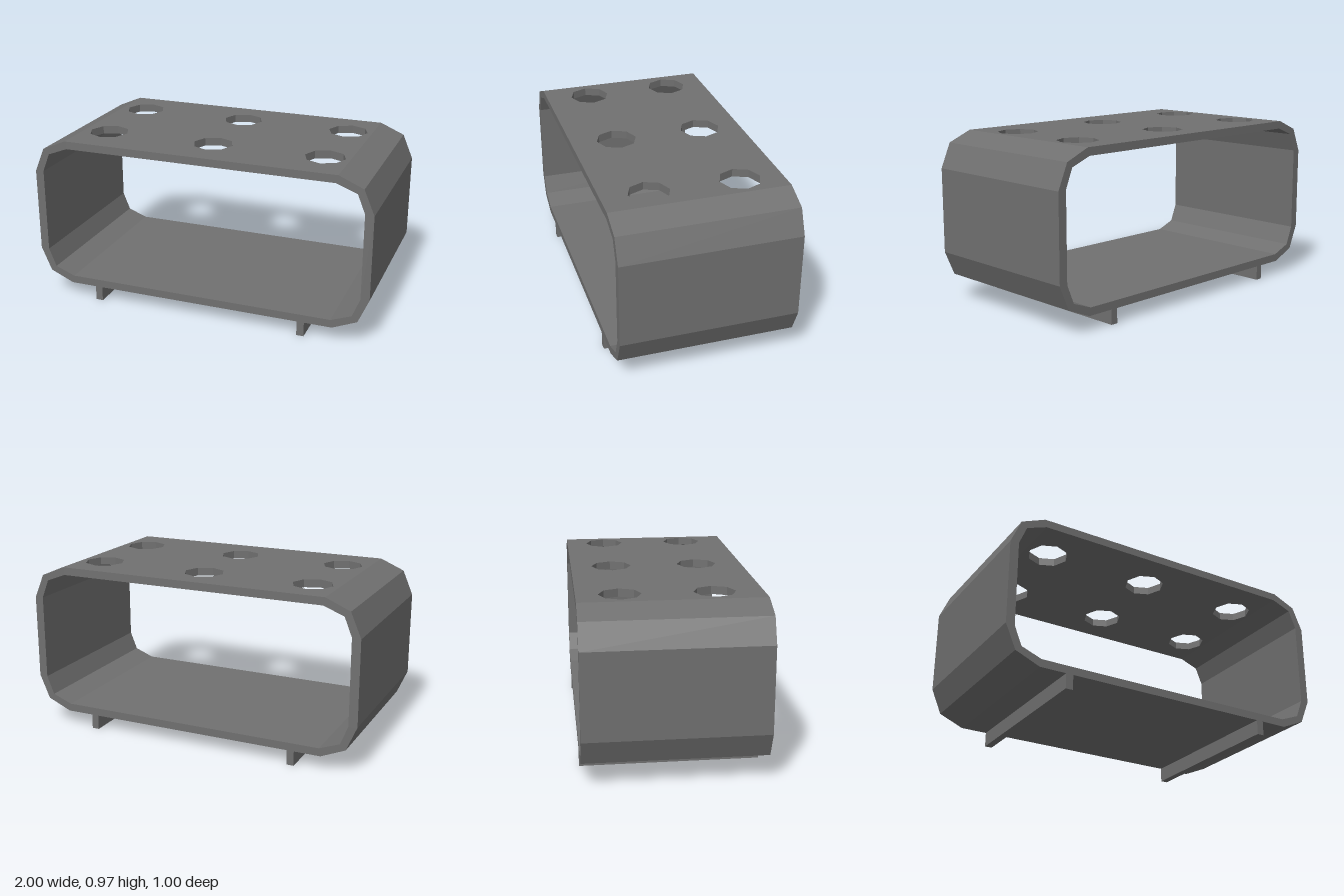
import * as THREE from 'three';

export function createModel() {
  const model = new THREE.Group();
  const grey = new THREE.MeshStandardMaterial({ color: 0x707070 });
  grey.name = 'dark grey';
  const add = (name, geometry) => {
    const mesh = new THREE.Mesh(geometry, grey);
    mesh.name = name;
    model.add(mesh);
    return mesh;
  };

  const depth = 1, topY = 0.97, innerTopY = 0.925, bottomY = 0.085, slabX = 0.79;
  const midY = (topY + bottomY) / 2;

  // Right half of the outer and inner outlines, from top to bottom
  const half = (corner) => {
    const upper = corner.map(([x, y]) => [x, y]);
    const lower = corner.map(([x, y]) => [x, 2 * midY - y]).reverse();
    return [...upper, ...lower];
  };
  const outer = half([[0.8, topY], [0.94, 0.91], [1, 0.77]]);
  const inner = half([[slabX, innerTopY], [0.907, 0.88], [0.95, 0.773]]);
  const mirror = (points) => points.map(([x, y]) => [-x, y]).reverse();

  // Sides and floor: a band left open where the top panel sits
  const band = [
    [slabX, topY], ...outer, ...mirror(outer), [-slabX, topY],
    ...mirror(inner).reverse(), ...[...inner].reverse(),
  ];
  const bandShape = new THREE.Shape(band.map(([x, y]) => new THREE.Vector2(x, y)));
  const bandGeometry = new THREE.ExtrudeGeometry(bandShape, { depth, bevelEnabled: false });
  add('shell', bandGeometry.translate(0, 0, -depth / 2));

  // Top panel with six octagonal holes
  const panel = new THREE.Shape([
    new THREE.Vector2(-slabX, -depth / 2), new THREE.Vector2(slabX, -depth / 2),
    new THREE.Vector2(slabX, depth / 2), new THREE.Vector2(-slabX, depth / 2),
  ]);
  for (const x of [-0.647, 0.005, 0.658]) {
    for (const z of [-0.265, 0.238]) {
      const octagon = [];
      for (let i = 0; i < 8; i++) {
        const a = (i * Math.PI) / 4;
        octagon.push(new THREE.Vector2(x + 0.115 * Math.cos(a), -z + 0.115 * Math.sin(a)));
      }
      panel.holes.push(new THREE.Path(octagon));
    }
  }
  const panelGeometry = new THREE.ExtrudeGeometry(panel, { depth: topY - innerTopY, bevelEnabled: false });
  add('topPanel', panelGeometry.rotateX(-Math.PI / 2).translate(0, innerTopY, 0));

  // Two runners under the floor
  for (const [name, x] of [['rightRunner', -0.626], ['leftRunner', 0.62]]) {
    add(name, new THREE.BoxGeometry(0.042, bottomY, depth)).position.set(x, bottomY / 2, 0);
  }

  return model;
}
